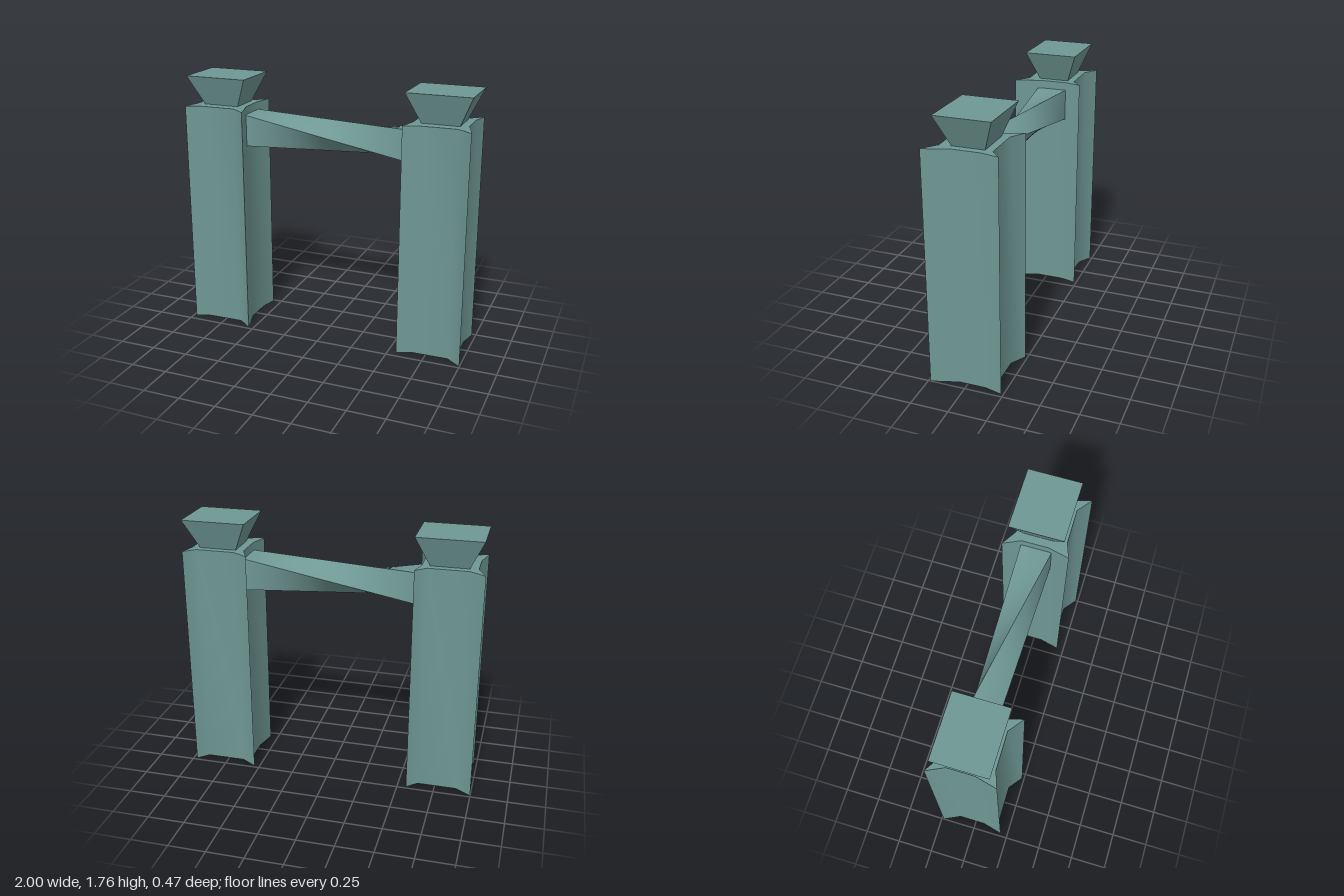
import * as THREE from 'three';
import { toCreasedNormals } from 'three/addons/utils/BufferGeometryUtils.js';

const stone = new THREE.MeshStandardMaterial({ color: 0x6f9894 });
stone.name = 'greyTeal';

const PILLAR_X = 0.7675;
const PILLAR_HEIGHT = 1.565;

// Pillar plan (x, z) about the pillar's centre: four pointed corners, hollowed sides
const PLAN = [
  [0.232, 0.235], [0.18, 0.14], [0.178, 0.06], [0.178, -0.12],
  [0.207, -0.235], [0.135, -0.172], [-0.128, -0.172],
  [-0.232, -0.235], [-0.178, -0.12], [-0.178, 0.06],
  [-0.212, 0.2], [-0.11, 0.163], [0.135, 0.16],
];
PLAN.splice(1, 1, [0.205, 0.14]); // slender front corner

function pillarGeometry() {
  const shape = new THREE.Shape(PLAN.map(([x, z]) => new THREE.Vector2(x, -z)));
  const geo = new THREE.ExtrudeGeometry(shape, { depth: PILLAR_HEIGHT, bevelEnabled: false });
  geo.rotateX(-Math.PI / 2);
  return toCreasedNormals(geo, 0.8);
}

// Capital: a box narrowed towards its base
function capitalGeometry() {
  const geo = new THREE.BoxGeometry(0.43, 0.2, 0.36);
  const p = geo.attributes.position;
  for (let i = 0; i < p.count; i++) {
    if (p.getY(i) < 0) p.setXYZ(i, p.getX(i) * 0.58, p.getY(i), p.getZ(i) * 0.58);
  }
  geo.computeVertexNormals();
  return geo;
}

// Beam: a quarter twist with straight edges from one end to the other
function beamGeometry() {
  const length = 1.18, hy = 0.1075, hz = 0.1025;
  const geo = new THREE.BoxGeometry(length, 2, 2, 24, 4, 4);
  const p = geo.attributes.position;
  for (let i = 0; i < p.count; i++) {
    const t = p.getX(i) / length + 0.5, u = p.getY(i), v = p.getZ(i);
    p.setY(i, hy * THREE.MathUtils.lerp(u, -v, t));
    p.setZ(i, hz * THREE.MathUtils.lerp(v, u, t));
  }
  geo.computeVertexNormals();
  return geo;
}

function addPart(parent, name, geometry, x, y, z) {
  const mesh = new THREE.Mesh(geometry, stone);
  mesh.name = name;
  mesh.position.set(x, y, z);
  parent.add(mesh);
}

export function createModel() {
  const model = new THREE.Group();
  model.name = 'gateway';
  const pillar = pillarGeometry();
  const capital = capitalGeometry();

  // Both pillars share the same plan, shifted rather than mirrored
  for (const [side, sx] of [['left', 1], ['right', -1]]) {
    addPart(model, side + 'Pillar', pillar, sx * PILLAR_X, 0, 0);
    addPart(model, side + 'Capital', capital, sx * PILLAR_X + 0.002, PILLAR_HEIGHT + 0.1, -0.018);
  }
  addPart(model, 'twistedBeam', beamGeometry(), 0, 1.4025, -0.0215);
  return model;
}
